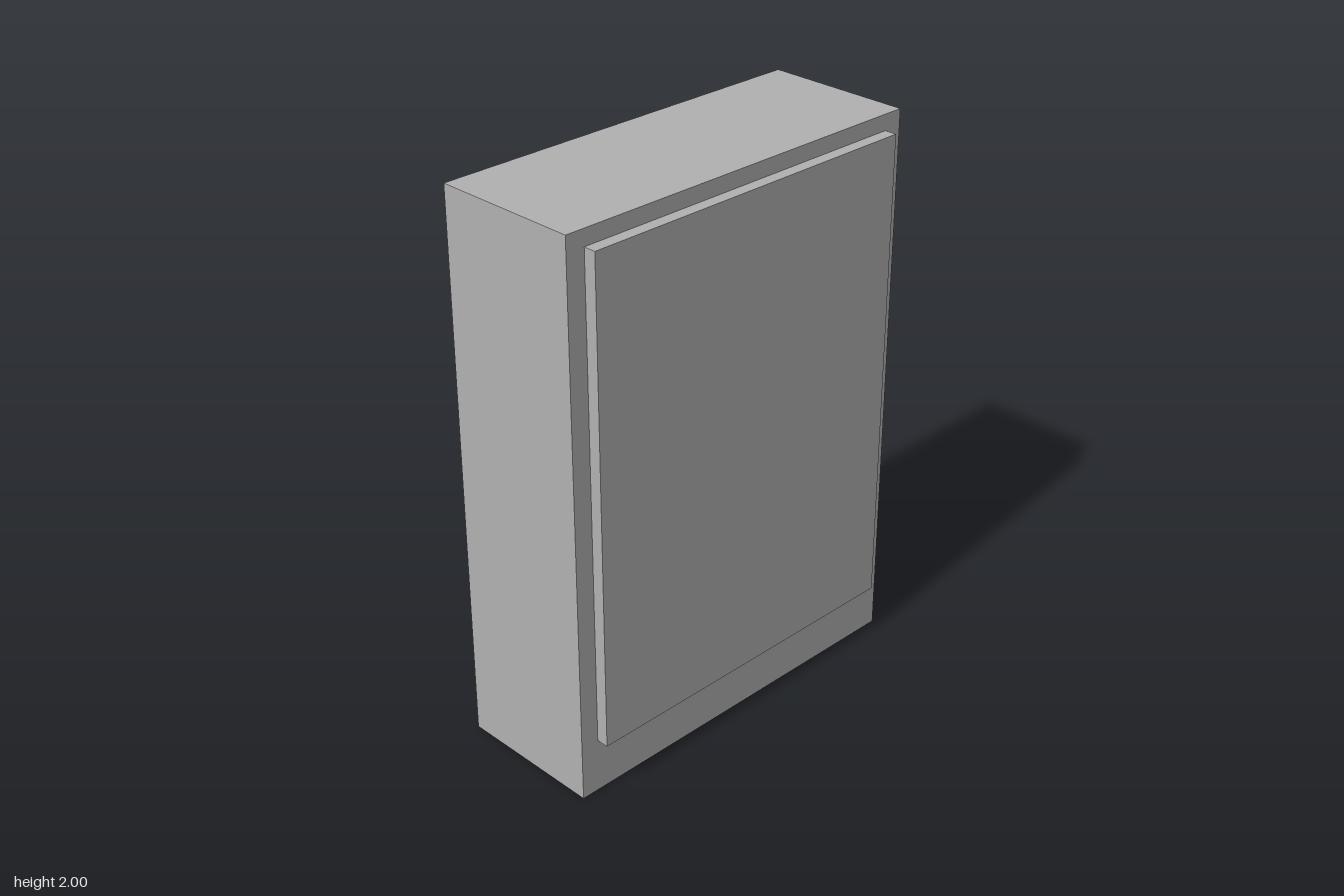
import * as THREE from 'three';

const W = 0.722, H = 2;                       // cabinet half width, height
const BACK = -0.291, FACE = 0.247, FRONT = 0.291;
const DOOR = { x: 0.653, y0: 0.2, y1: 1.943 };

export function createModel() {
  const grey = new THREE.MeshStandardMaterial({ color: 0xb2b2b2, side: THREE.DoubleSide });
  grey.name = 'grey';
  const group = new THREE.Group();
  group.name = 'openBackCabinet';

  const add = (name, geometry, x, y, z, rx = 0, ry = 0) => {
    const mesh = new THREE.Mesh(geometry, grey);
    mesh.name = name;
    mesh.position.set(x, y, z);
    mesh.rotation.set(rx, ry, 0);
    group.add(mesh);
  };

  // Four thin walls around a rectangle, running from z0 to z1
  const addWalls = (name, hx, y0, y1, z0, z1) => {
    const d = z1 - z0, z = (z0 + z1) / 2, h = y1 - y0, y = (y0 + y1) / 2;
    for (const s of [-1, 1]) {
      add(name + (s > 0 ? 'LeftSide' : 'RightSide'), new THREE.PlaneGeometry(d, h), s * hx, y, z, 0, s * Math.PI / 2);
      add(name + (s > 0 ? 'Top' : 'Bottom'), new THREE.PlaneGeometry(2 * hx, d), 0, s > 0 ? y1 : y0, z, -s * Math.PI / 2);
    }
  };

  const rectangle = (path, hx, y0, y1) =>
    path.moveTo(-hx, y0).lineTo(hx, y0).lineTo(hx, y1).lineTo(-hx, y1).closePath();

  // Cabinet shell, open at the back
  addWalls('cabinet', W, 0, H, BACK, FACE);

  // Front frame with the opening behind the door
  const frame = new THREE.Shape();
  rectangle(frame, W, 0, H);
  const opening = new THREE.Path();
  rectangle(opening, DOOR.x, DOOR.y0, DOOR.y1);
  frame.holes.push(opening);
  add('frontFrame', new THREE.ShapeGeometry(frame), 0, 0, FACE);

  // Raised hollow door panel
  addWalls('door', DOOR.x, DOOR.y0, DOOR.y1, FACE, FRONT);
  add('doorPanel', new THREE.PlaneGeometry(2 * DOOR.x, DOOR.y1 - DOOR.y0), 0, (DOOR.y0 + DOOR.y1) / 2, FRONT);

  return group;
}
